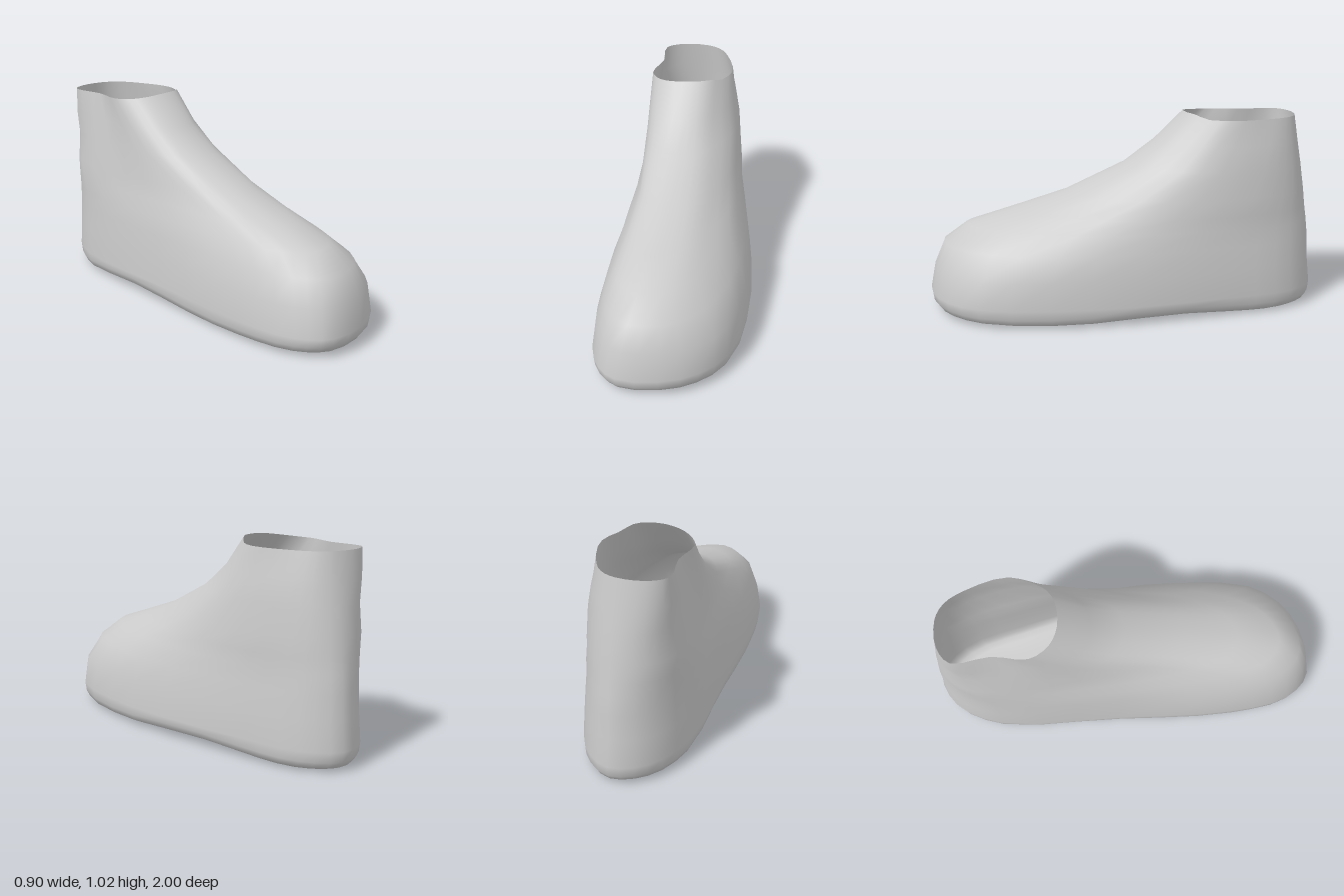
import * as THREE from 'three';

const COLUMNS = 36;

// Level sections: height, front z, back z, toe x, three outer x, three inner x
const SECTIONS = [
  [0.10, 1, -1, 0, .44, .385, .12, -.26, -.355, -.445],
  [0.24, .97, -.985, .02, .425, .365, .115, -.25, -.345, -.44],
  [0.36, .92, -.98, .04, .355, .33, .1, -.225, -.34, -.435],
  [0.45, .8, -.97, .04, .265, .27, .085, -.205, -.335, -.435],
  [0.52, .58, -.96, .01, .2, .225, .075, -.215, -.34, -.435],
  [0.61, .3, -.95, -.04, .14, .17, .05, -.245, -.36, -.43],
  [0.75, 0, -.93, -.11, .075, .12, .02, -.305, -.38, -.41],
  [0.87, -.16, -.91, -.15, .03, .075, -.01, -.335, -.37, -.42],
  [1.00, -.31, -.89, -.19, 0, .04, -.05, -.36, -.365, -.415],
];
const HEEL_X = -0.21;

// Sole rings, middle outwards: width factor, length factor, height
const SOLE = [[0, .8, .002], [.5, .86, .002], [.85, .93, .004], [.95, .97, .02], [.985, .993, .05]];

const centreX = (z) => -0.03 + 0.215 * z;

// Smooth closed outline: toe tip, outer side, heel, inner side, with rounded shoulders at both ends
function outline([y, front, back, toeX, outer1, outer2, outer3, inner1, inner2, inner3]) {
  const at = (x, u) => new THREE.Vector3(x, y, THREE.MathUtils.lerp(front, back, u));
  const shoulder = (end, side, fullness, u) => at(THREE.MathUtils.lerp(end, side, fullness), u);
  const curve = new THREE.CatmullRomCurve3([
    at(toeX, 0), shoulder(toeX, outer1, 0.65, 0.05),
    at(outer1, 0.17), at(outer2, 0.45), at(outer3, 0.8),
    shoulder(HEEL_X, outer3, 0.53, 0.95), at(HEEL_X, 1), shoulder(HEEL_X, inner3, 0.66, 0.95),
    at(inner3, 0.82), at(inner2, 0.5), at(inner1, 0.2),
    shoulder(toeX, inner1, 0.57, 0.05),
  ], true);
  return Array.from({ length: COLUMNS }, (_, i) => curve.getPoint(i / COLUMNS));
}

// Shrinks the outline towards the foot's slanted centre line, lifting the arch and toe
function soleRing(base, [width, length, height]) {
  return base.map((p) => {
    const z = p.z * length;
    const arch = 0.022 * Math.exp(-(((z + 0.28) / 0.3) ** 2));
    const toeSpring = 0.015 * Math.max(0, z - 0.4);
    return new THREE.Vector3(centreX(z) + (p.x - centreX(p.z)) * width, height + arch + toeSpring, z);
  });
}

// Skin joining neighbouring rings
function loft(rings) {
  const index = [];
  for (let r = 0; r < rings.length - 1; r++) {
    for (let i = 0; i < COLUMNS; i++) {
      const a = r * COLUMNS + i;
      const b = r * COLUMNS + ((i + 1) % COLUMNS);
      index.push(a, b, b + COLUMNS, a, b + COLUMNS, a + COLUMNS);
    }
  }
  const geometry = new THREE.BufferGeometry().setFromPoints(rings.flat());
  geometry.setIndex(index);
  geometry.computeVertexNormals();
  return geometry;
}

export function createModel() {
  const upper = SECTIONS.map(outline);

  // Opening edge rises slightly at the front of the ankle
  for (const p of upper[upper.length - 1]) {
    p.y += 0.024 * THREE.MathUtils.smoothstep(p.z, -0.46, -0.36) * THREE.MathUtils.smoothstep(p.x, -0.38, -0.1);
  }

  const rings = [...SOLE.map((s) => soleRing(upper[0], s)), ...upper];
  const material = new THREE.MeshStandardMaterial({ color: 0xcccccc, side: THREE.DoubleSide });
  const boot = new THREE.Mesh(loft(rings), material);
  boot.name = 'ankleBoot';

  const group = new THREE.Group();
  group.name = 'boot';
  group.add(boot);
  return group;
}
